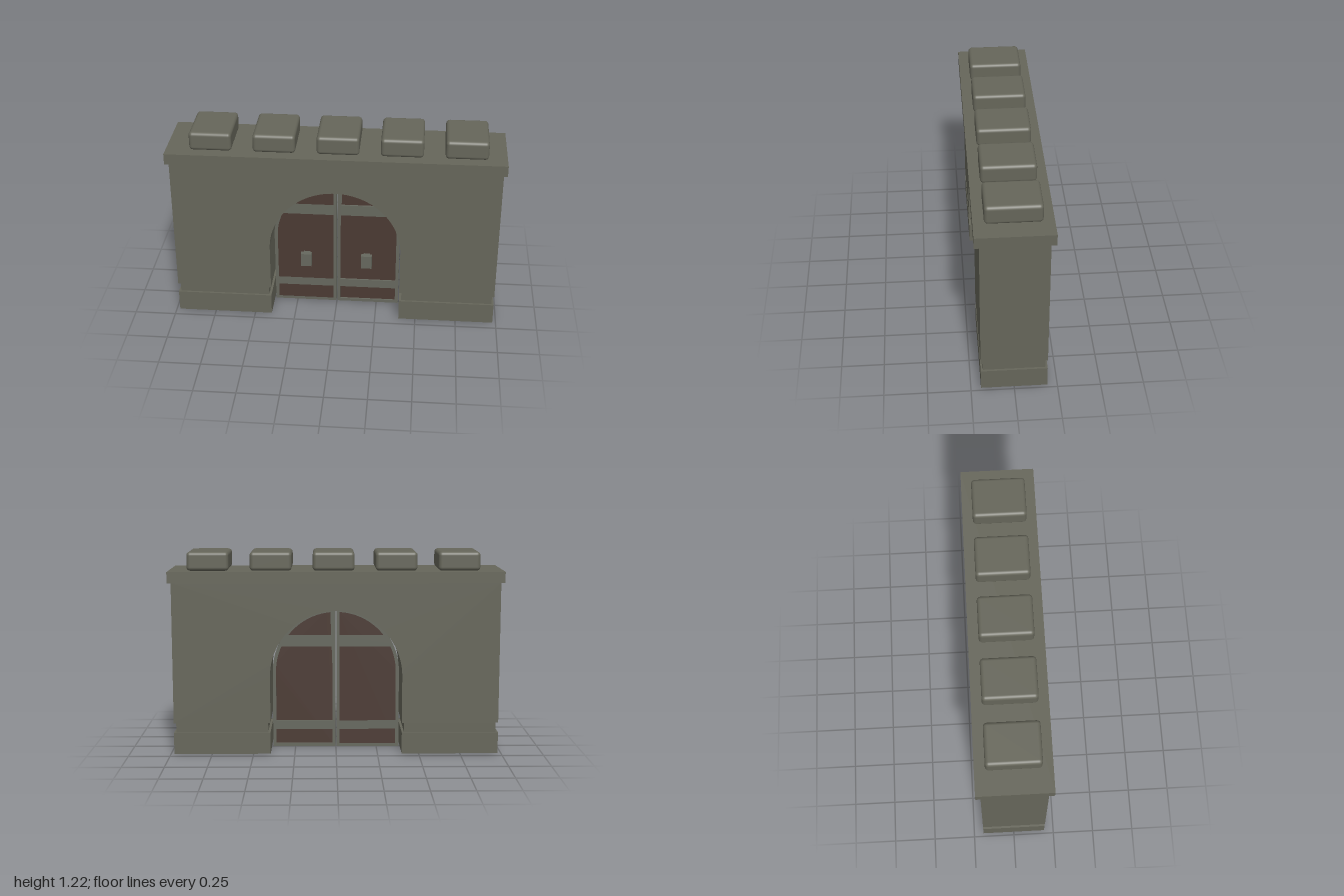
import * as THREE from 'three';
import { toCreasedNormals } from 'three/addons/utils/BufferGeometryUtils.js';
import { RoundedBoxGeometry } from 'three/addons/geometries/RoundedBoxGeometry.js';

const SPRING = 0.475; // height where the arch starts to curve

export function createModel() {
  const gate = new THREE.Group();
  gate.name = 'castleGate';

  const material = (name, color) => {
    const m = new THREE.MeshStandardMaterial({ color });
    m.name = name;
    return m;
  };
  const stone = material('stone', 0x66665a);
  const iron = material('iron', 0x66685e);
  const wood = material('wood', 0x4b3a33);

  const add = (name, geometry, mat, x = 0, y = 0, z = 0, parent = gate) => {
    const mesh = new THREE.Mesh(geometry, mat);
    mesh.name = name;
    mesh.position.set(x, y, z);
    parent.add(mesh);
    return mesh;
  };
  // Box from its x, y and z limits
  const box = (name, mat, x0, x1, y0, y1, z0, z1, parent) =>
    add(name, new THREE.BoxGeometry(x1 - x0, y1 - y0, z1 - z0), mat,
      (x0 + x1) / 2, (y0 + y1) / 2, (z0 + z1) / 2, parent);
  const extrude = (shape, depth) => toCreasedNormals(
    new THREE.ExtrudeGeometry(shape, { depth, bevelEnabled: false, curveSegments: 40 }), 0.5);

  // Wall with arched opening
  const R = 0.397;
  const wall = new THREE.Shape();
  wall.moveTo(-0.98, 0.19);
  wall.lineTo(-R, 0.19);
  wall.lineTo(-R, SPRING);
  wall.absarc(0, SPRING, R, Math.PI, 0, true);
  wall.lineTo(R, 0.19);
  wall.lineTo(0.98, 0.19);
  wall.lineTo(0.98, 1.04);
  wall.lineTo(-0.98, 1.04);
  wall.closePath();
  add('wall', extrude(wall, 0.384), stone, 0, 0, -0.192);

  // Plinths, each with a recessed band above
  for (const s of [-1, 1]) {
    const side = s > 0 ? 'left' : 'right';
    const plinth = box(side + 'Plinth', stone, R, 0.98, 0, 0.13, -0.192, 0.192);
    const band = box(side + 'RecessedBand', stone, R + 0.014, 0.967, 0.13, 0.19, -0.179, 0.179);
    plinth.position.x *= s;
    band.position.x *= s;
  }

  // Coping and merlons
  box('coping', stone, -1, 1, 1.04, 1.107, -0.22, 0.22);
  for (let i = 0; i < 5; i++) {
    add('merlon', new RoundedBoxGeometry(0.25, 0.113, 0.318, 4, 0.022), stone,
      -0.735 + i * 0.375, 1.1635, 0);
  }

  // Points of the half arch between x0 and radius r, cut at heights y0 and y1
  const halfArch = (s, x0, r, y0, y1 = 9) => {
    const p = [[x0, y0]];
    if (y0 < SPRING) p.push([r, y0]);
    if (y1 <= SPRING) {
      p.push([r, y1], [x0, y1]);
    } else {
      const a0 = Math.asin(Math.max(0, (y0 - SPRING) / r));
      const a1 = Math.min(Math.acos(x0 / r), Math.asin(Math.min(1, (y1 - SPRING) / r)));
      for (let i = 0; i <= 24; i++) {
        const a = a0 + (a1 - a0) * i / 24;
        p.push([r * Math.cos(a), SPRING + r * Math.sin(a)]);
      }
      if (y1 < SPRING + r) p.push([x0, y1]);
    }
    return p.map(([x, y]) => new THREE.Vector2(s * x, y));
  };

  // Door leaves: iron frame with openings, wooden panel, pull handle
  for (const s of [-1, 1]) {
    const leaf = new THREE.Group();
    leaf.name = s > 0 ? 'leftDoor' : 'rightDoor';
    gate.add(leaf);

    const frame = new THREE.Shape(halfArch(s, 0.003, 0.388, 0.003));
    for (const [y0, y1] of [[0.022, 0.112], [0.166, 0.63], [0.7, 9]]) {
      frame.holes.push(new THREE.Path(halfArch(s, 0.021, 0.368, y0, y1)));
    }
    add('doorFrame', extrude(frame, 0.04), iron, 0, 0, -0.015, leaf);

    const panel = new THREE.Shape(halfArch(s, 0.012, 0.378, 0.012));
    add('doorPanel', extrude(panel, 0.02), wood, 0, 0, -0.005, leaf);

    add('handleStem', new THREE.BoxGeometry(0.04, 0.05, 0.05), iron, s * 0.187, 0.333, 0.035, leaf);
    add('handlePlate', new THREE.BoxGeometry(0.066, 0.086, 0.03), iron, s * 0.187, 0.333, 0.07, leaf);
  }

  return gate;
}
